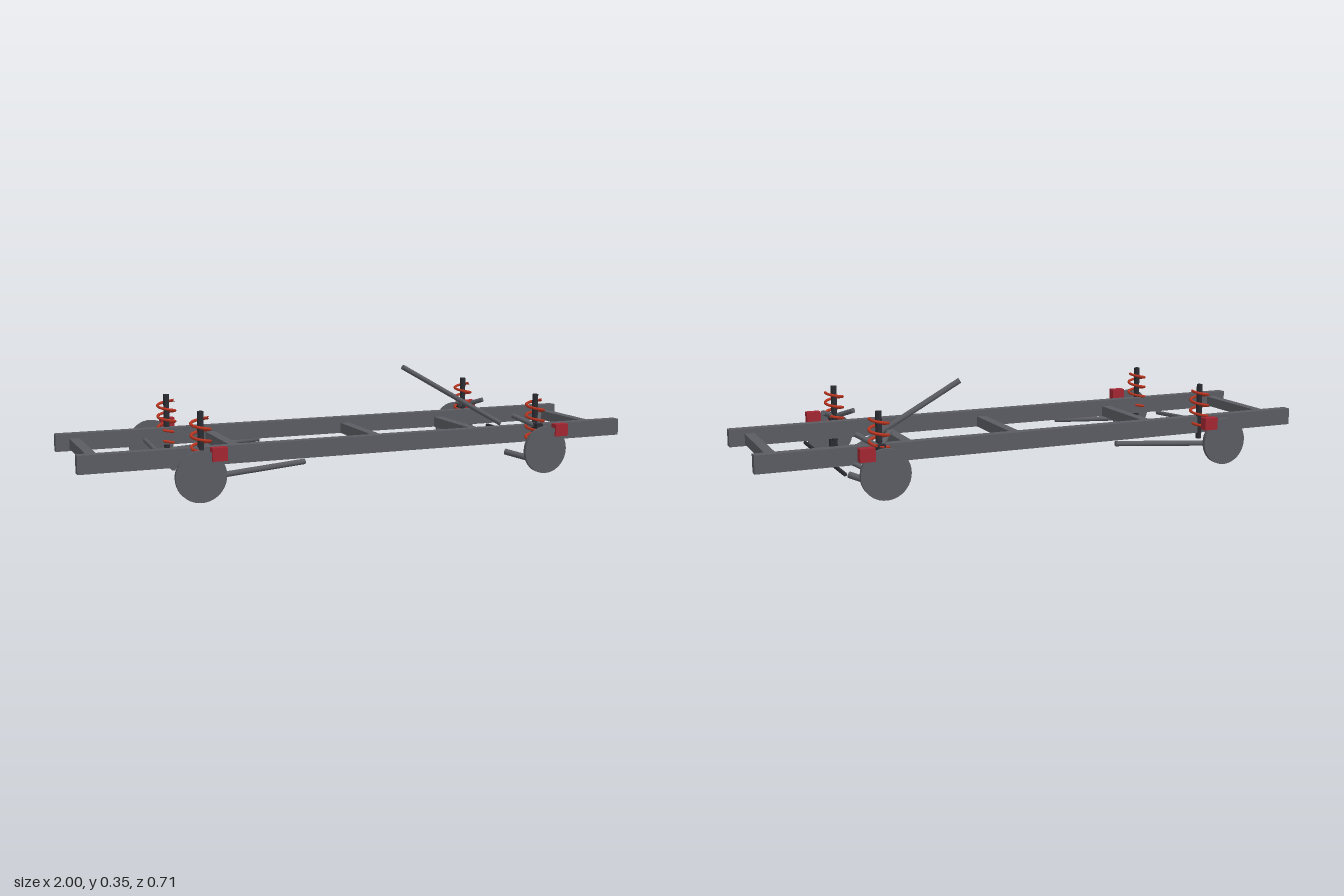
import * as THREE from 'three';

const mat = (name, color) => {
  const m = new THREE.MeshStandardMaterial({ color });
  m.name = name;
  return m;
};

export function createModel() {
  const model = new THREE.Group();
  model.name = 'rollingChassis';
  const steel = mat('steelGrey', 0x5a5c62);
  const dark = mat('darkSteel', 0x2b2c32);
  const springRed = mat('springRed', 0xb8341f);
  const caliperRed = mat('caliperRed', 0xa32632);

  const add = (name, geometry, material, x = 0, y = 0, z = 0) => {
    const mesh = new THREE.Mesh(geometry, material);
    mesh.name = name;
    mesh.position.set(x, y, z);
    model.add(mesh);
    return mesh;
  };
  const box = (name, m, w, h, d, x, y, z) => add(name, new THREE.BoxGeometry(w, h, d), m, x, y, z);

  // Round bar between two points
  const rod = (name, m, r, a, b) => {
    const from = new THREE.Vector3(...a), to = new THREE.Vector3(...b);
    const dir = to.clone().sub(from);
    const mesh = add(name, new THREE.CylinderGeometry(r, r, dir.length(), 16), m);
    mesh.position.copy(from).add(to).multiplyScalar(0.5);
    mesh.quaternion.setFromUnitVectors(new THREE.Vector3(0, 1, 0), dir.normalize());
    return mesh;
  };

  // Helical spring path, centred on its own axis
  class Helix extends THREE.Curve {
    getPoint(t, target = new THREE.Vector3()) {
      const a = t * 4 * Math.PI * 2;
      return target.set(Math.cos(a) * 0.031, t * 0.155, Math.sin(a) * 0.031);
    }
  }
  const springGeometry = new THREE.TubeGeometry(new Helix(), 128, 0.005, 8);

  // Ladder frame
  for (const s of [1, -1]) box('frameRail', steel, 2, 0.06, 0.034, 0, 0.126, s * 0.217);
  for (const x of [-0.936, 0.93]) box('endCrossmember', steel, 0.034, 0.036, 0.4, x, 0.121, 0);
  for (const x of [-0.453, 0.073, 0.467]) box('crossmember', steel, 0.034, 0.038, 0.4, x, 0.115, 0);

  // Brakes, springs and shock absorbers at each corner
  const corners = [
    { end: 'front', discX: 0.614, shockX: 0.613, shockZ: 0.272 },
    { end: 'rear', discX: -0.637, shockX: -0.605, shockZ: 0.228 },
  ];
  for (const { end, discX, shockX, shockZ } of corners) {
    for (const s of [1, -1]) {
      const disc = add(end + 'BrakeDisc', new THREE.CylinderGeometry(0.083, 0.083, 0.013, 40), steel, discX, 0.083, s * 0.342);
      disc.rotation.x = Math.PI / 2;
      box(end + 'BrakeCaliper', caliperRed, 0.05, 0.043, 0.03, discX + 0.06, 0.151, s * 0.34);
      rod(end + 'ShockAbsorber', dark, 0.0105, [shockX, 0.075, s * shockZ], [shockX, 0.273, s * shockZ]);
      add(end + 'CoilSpring', springGeometry, springRed, shockX, 0.096, s * shockZ);
    }
  }

  for (const s of [1, -1]) {
    // Front wishbones and upright
    for (const k of [1, -1]) {
      rod('lowerWishbone', steel, 0.011, [0.614 + k * 0.078, 0.058, s * 0.2], [0.614, 0.036, s * 0.293]);
      rod('upperWishbone', steel, 0.009, [0.614 + k * 0.055, 0.19, s * 0.21], [0.614, 0.158, s * 0.288]);
    }
    box('frontUpright', dark, 0.026, 0.148, 0.025, 0.614, 0.096, s * 0.294);
    rod('steeringArm', steel, 0.007, [0.69, 0.102, s * 0.22], [0.65, 0.085, s * 0.295]);
    // Rear trailing link
    rod('trailingLink', steel, 0.0095, [-0.612, 0.063, s * 0.268], [-0.255, 0.087, s * 0.243]);
  }

  // Rear lateral bar, steering rack and steering column
  rod('rearLateralBar', steel, 0.008, [-0.69, 0.118, -0.205], [-0.69, 0.089, 0.205]);
  rod('steeringRack', dark, 0.0065, [0.724, 0.077, -0.265], [0.724, 0.077, 0.265]);
  rod('steeringColumn', steel, 0.0095, [0.305, 0.338, -0.184], [0.722, 0.1, -0.16]);

  return model;
}
